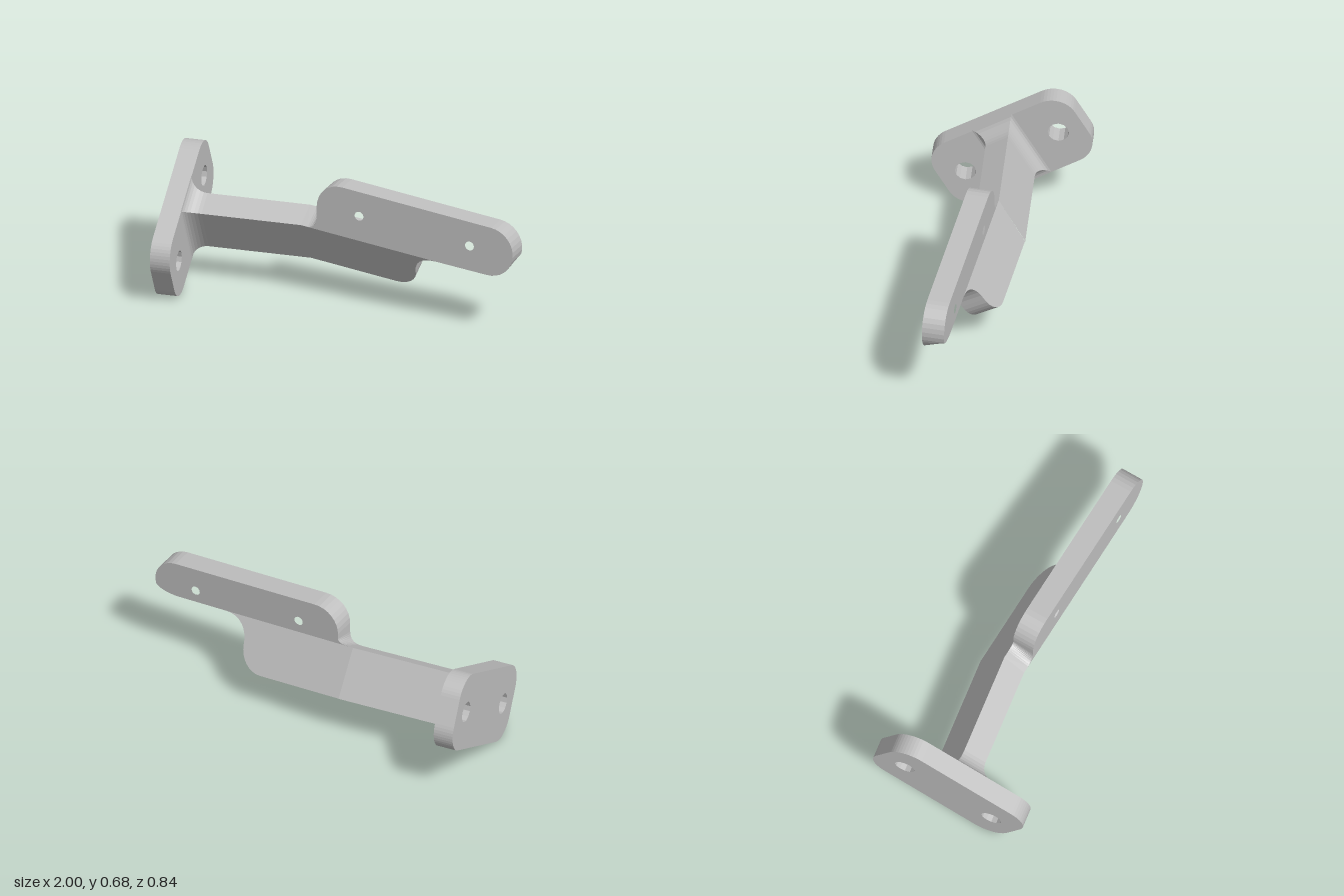
import * as THREE from 'three';

const TILT = Math.PI / 6;             // roll of the plate and arm section
const SLOPE = 0.153;                  // yaw of the plate and arm root
const FRONT = 0.025, DEPTH = 0.118, RISE = 0.068;

// height of the fold line between the upright flag and the slanted flange
const crease = (x) => 0.43 - 0.0875 * (x + 0.2);

function faceted(geometry) {
  const g = geometry.index ? geometry.toNonIndexed() : geometry;
  g.computeVertexNormals();
  return g;
}

function hole(shape, x, y, r) {
  const path = new THREE.Path();
  path.absarc(x, y, r, 0, Math.PI * 2, true);
  shape.holes.push(path);
}

// Extrude a front outline, slant all below the crease and raise the back edge near it
function folded(shape, slanted) {
  const g = new THREE.ExtrudeGeometry(shape, { depth: DEPTH, bevelEnabled: false, curveSegments: 8 });
  const p = g.attributes.position;
  for (let i = 0; i < p.count; i++) {
    const x = p.getX(i), y = p.getY(i), h = y - crease(x);
    const back = p.getZ(i) < DEPTH / 2;
    const w = slanted ? 1 : THREE.MathUtils.clamp(1 - h / 0.115, 0, 1);
    p.setY(i, y + (back ? RISE * w : 0));
    p.setZ(i, FRONT - (back ? DEPTH : 0) + (slanted ? h * Math.tan(TILT) : 0));
  }
  return faceted(g);
}

// Rounded mounting plate with two bolt holes
function plateGeometry() {
  const L = 0.418, W = 0.204, r = 0.13, s = new THREE.Shape();
  s.absarc(L - r, W - r, r, 0, Math.PI / 2);
  s.absarc(r - L, W - r, r, Math.PI / 2, Math.PI);
  s.absarc(r - L, r - W, r, Math.PI, Math.PI * 1.5);
  s.absarc(L - r, r - W, r, Math.PI * 1.5, Math.PI * 2);
  for (const x of [-0.277, 0.277]) hole(s, x, 0, 0.055);
  const g = new THREE.ExtrudeGeometry(s, { depth: 0.106, bevelEnabled: false, curveSegments: 6 });
  g.rotateZ(TILT).rotateY(Math.PI / 2 + Math.atan(SLOPE)).translate(-0.9375, 0.341, 0.007);
  return faceted(g);
}

// Rectangular arm root, flaring into the plate with a fillet
function armGeometry() {
  // corner z, y, then flare signs toward the front and the top
  const corners = [
    [0.025, 0.43, 1, 1], [-0.115, 0.19, 1, -1],
    [-0.233, 0.258, -1, -1], [-0.093, 0.498, -1, 1],
  ];
  const c = Math.cos(TILT), n = Math.sin(TILT), R = 0.09, steps = 7;
  const rings = [];
  for (let i = 0; i <= steps; i++) {
    const t = (i / steps) * Math.PI / 2;
    const s = R * (1 - Math.cos(t)), f = 1 - Math.sin(t);
    rings.push(corners.map(([z, y, a, b]) => {
      const x = (-0.836 + s + SLOPE * z) / (1 + SLOPE * SLOPE);
      const du = 0.05 * f * a, dv = 0.068 * f * b;
      const dz = du * c + dv * n;
      return [x + SLOPE * dz, y - du * n + dv * c, z + SLOPE * (-0.2 - x) + dz];
    }));
  }
  rings.push(corners.map(([z, y]) => [-0.2, y, z]));
  const pos = [];
  for (let i = 0; i < rings.length - 1; i++) {
    for (let j = 0; j < 4; j++) {
      const k = (j + 1) % 4;
      const A = rings[i][j], B = rings[i][k], C = rings[i + 1][k], D = rings[i + 1][j];
      pos.push(...A, ...B, ...C, ...A, ...C, ...D);
    }
  }
  const g = new THREE.BufferGeometry();
  g.setAttribute('position', new THREE.Float32BufferAttribute(pos, 3));
  return faceted(g);
}

// Upright flag with a round end and two small holes
function flagGeometry() {
  const s = new THREE.Shape();
  s.moveTo(-0.2, 0.43);
  s.lineTo(-0.16, 0.428);
  s.quadraticCurveTo(-0.113, 0.43, -0.11, 0.49);
  s.lineTo(-0.11, 0.55);
  s.bezierCurveTo(-0.108, 0.63, -0.05, 0.692, 0.035, 0.684);
  const a = THREE.MathUtils.degToRad(85);
  s.absarc(0.865, 0.475, 0.135, a, a - Math.PI, true);
  s.lineTo(0.57, crease(0.57));
  s.closePath();
  hole(s, 0.13, 0.54, 0.025);
  hole(s, 0.755, 0.486, 0.025);
  return folded(s, false);
}

// Slanted flange under the flag
function flangeGeometry() {
  const s = new THREE.Shape();
  s.moveTo(-0.2, 0.43);
  s.lineTo(-0.2, 0.19);
  s.lineTo(0.28, 0.147);
  s.bezierCurveTo(0.35, 0.142, 0.41, 0.19, 0.418, 0.25);
  s.bezierCurveTo(0.425, 0.32, 0.48, 0.37, 0.57, crease(0.57));
  s.closePath();
  return folded(s, true);
}

export function createModel() {
  const metal = new THREE.MeshStandardMaterial({ color: 0xbfbfbf });
  metal.name = 'light grey';
  const model = new THREE.Group();
  model.name = 'bracket';
  const parts = {
    mountingPlate: plateGeometry(),
    armRoot: armGeometry(),
    flag: flagGeometry(),
    flange: flangeGeometry(),
  };
  for (const [name, geometry] of Object.entries(parts)) {
    const mesh = new THREE.Mesh(geometry, metal);
    mesh.name = name;
    model.add(mesh);
  }
  return model;
}
